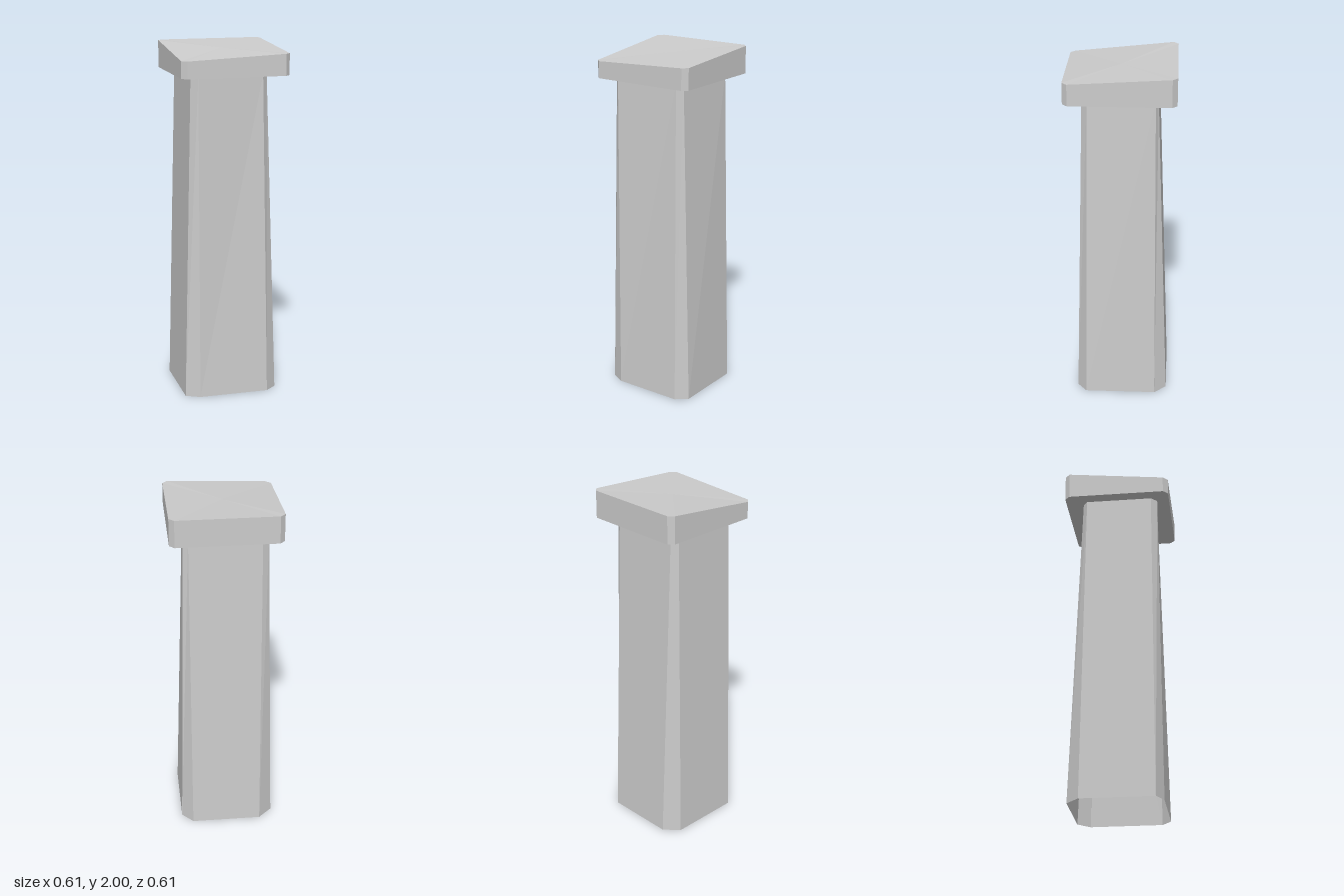
import * as THREE from 'three';

// Flat-faced skin between two rings of [x, y, z] points, with optional centre-fan ends
function loft(lower, upper, bottomCentre, topCentre) {
  const positions = [];
  const triangle = (...points) => points.forEach((p) => positions.push(...p));
  lower.forEach((a, i) => {
    const j = (i + 1) % lower.length;
    triangle(a, lower[j], upper[j]);
    triangle(a, upper[j], upper[i]);
    if (bottomCentre) triangle(bottomCentre, lower[j], a);
    if (topCentre) triangle(topCentre, upper[i], upper[j]);
  });
  const geometry = new THREE.BufferGeometry();
  geometry.setAttribute('position', new THREE.Float32BufferAttribute(positions, 3));
  geometry.computeVertexNormals();
  return geometry;
}

function addMesh(group, name, geometry, side) {
  const material = new THREE.MeshStandardMaterial({ color: 0xcccccc, flatShading: true, side });
  const mesh = new THREE.Mesh(geometry, material);
  mesh.name = name;
  group.add(mesh);
}

const atHeight = (outline, y) => outline.map(([x, z]) => [x, y, z]);

export function createModel() {
  const group = new THREE.Group();
  group.name = 'stonePillar';
  const capBase = 1.845;

  // Hollow, uneven tapering shaft, open underneath
  const foot = [
    [-0.2, 0.25], [0.2, 0.255], [0.263, 0.203], [0.263, -0.205],
    [0.2, -0.273], [-0.2, -0.273], [-0.278, -0.2], [-0.278, 0.21],
  ];
  const neck = [
    [-0.2, 0.235], [0.175, 0.21], [0.205, 0.18], [0.227, -0.19],
    [0.2, -0.205], [-0.2, -0.205], [-0.235, -0.18], [-0.235, 0.2],
  ];
  addMesh(group, 'shaft', loft(atHeight(foot, 0), atHeight(neck, capBase)), THREE.DoubleSide);

  // Square cap with clipped corners and a crooked, sloping top
  const r = 0.305;
  const c = 0.277;
  const capOutline = [[-c, r], [c, r], [r, c], [r, -c], [c, -r], [-c, -r], [-r, -c], [-r, c]];
  const cornerHeight = (x, z) => (z < 0 ? 2 : x > 0 ? 1.965 : 1.94);
  const capTop = capOutline.map(([x, z]) => [x, cornerHeight(x, z), z]);
  addMesh(group, 'cap',
    loft(atHeight(capOutline, capBase), capTop, [0, capBase, 0], [0, 1.976, 0]), THREE.FrontSide);

  return group;
}
